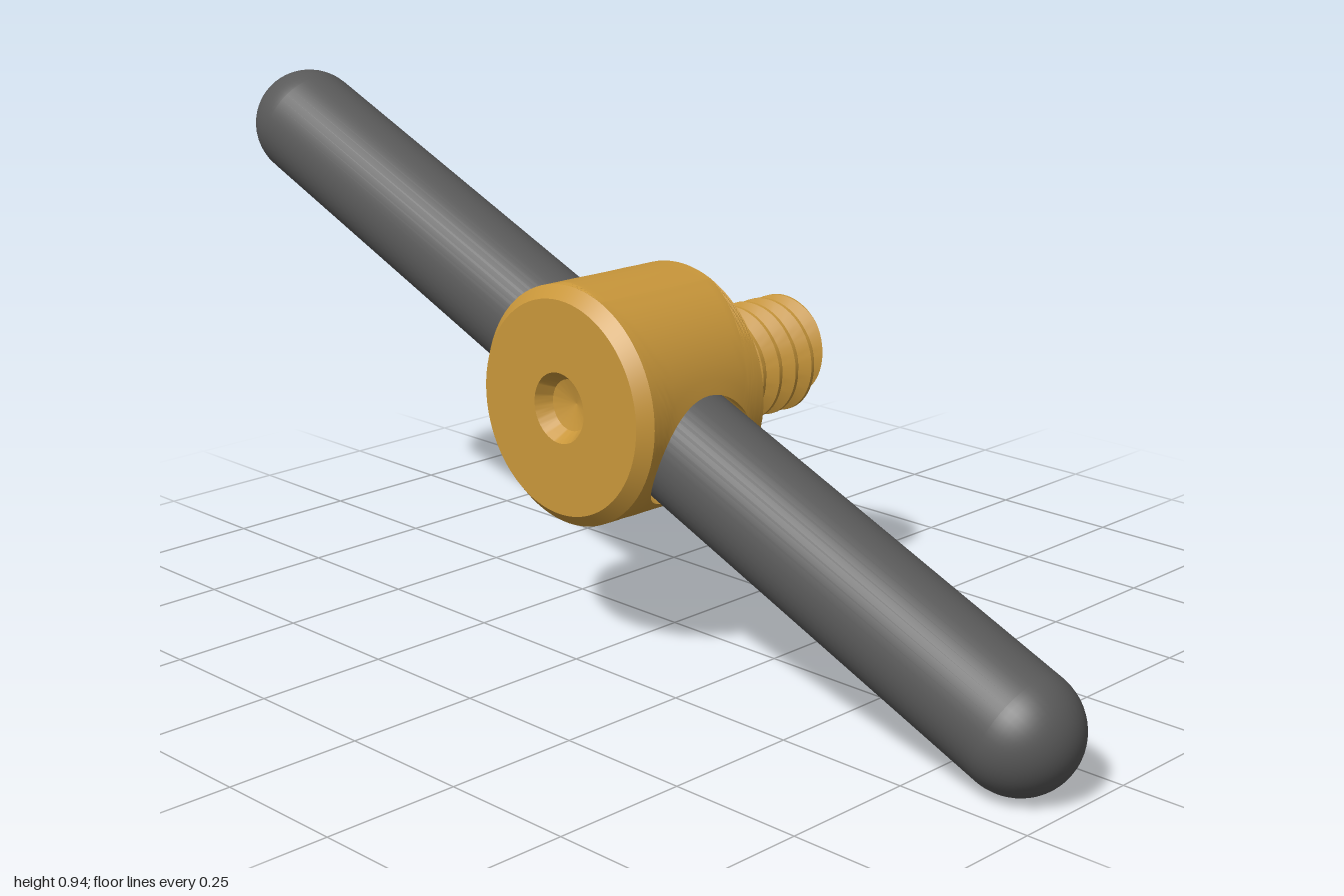
import * as THREE from 'three';
import { toCreasedNormals } from 'three/addons/utils/BufferGeometryUtils.js';

const R = 0.214, H = 0.155, CHAMFER = 0.022;   // collar
const WALL = H - CHAMFER;                      // half height of the straight collar wall
const BORE = 0.113, BAR = 0.106;               // cross hole and bar radii
const lerp = THREE.MathUtils.lerp;

// Skin a list of equally long rows of [x, y, z] points
function skin(rows, crease) {
  const n = rows[0].length, index = [];
  for (let i = 0; i < rows.length - 1; i++) {
    for (let j = 0; j < n - 1; j++) {
      const a = i * n + j, b = a + n;
      index.push(a, b, b + 1, a, b + 1, a + 1);
    }
  }
  const g = new THREE.BufferGeometry();
  g.setAttribute('position', new THREE.Float32BufferAttribute(rows.flat(2), 3));
  g.setIndex(index);
  return toCreasedNormals(g, crease);
}

// Half of the collar wall, with the bore running in to the middle
function wallGeometry() {
  const border = [];
  const side = (x0, y0, x1, y1, n) => {
    for (let i = 0; i < n; i++) border.push([lerp(x0, x1, i / n), lerp(y0, y1, i / n)]);
  };
  side(1, -1, 1, 1, 16);
  side(1, 1, -1, 1, 40);
  side(-1, 1, -1, -1, 16);
  side(-1, -1, 1, -1, 40);
  border.push([1, -1]);

  const steps = 8;
  const rows = Array.from({ length: steps + 2 }, () => []);
  for (const [u, v] of border) {
    const phi = Math.atan2(v, u);
    const y = BORE * Math.cos(phi), z = BORE * Math.sin(phi);
    rows[0].push([0, y, z]);
    for (let k = 0; k <= steps; k++) {
      const a = lerp(Math.asin(y / R), u * Math.PI / 2, k / steps);
      rows[k + 1].push([R * Math.cos(a), R * Math.sin(a), lerp(z, v * WALL, k / steps)]);
    }
  }
  return skin(rows, 0.6);
}

// Turned end face around the z axis
function turned(points) {
  const g = new THREE.LatheGeometry(points.map(p => new THREE.Vector2(...p)), 80);
  return toCreasedNormals(g.rotateX(Math.PI / 2), 0.4);
}

// Right-handed thread running along -z from the collar's back face
function threadGeometry() {
  const length = 0.258, pitch = 0.043, crest = 0.108, root = 0.086, segments = 64;
  const radius = turn => {
    const p = turn - Math.floor(turn), d = Math.min(p, 1 - p);   // distance from crest
    return lerp(crest, root, THREE.MathUtils.clamp((d - 0.08) / 0.28, 0, 1));
  };
  const row = fn => Array.from({ length: segments + 1 }, (_, j) => fn(j / segments));
  const rows = [row(() => [0, 0, -H - length])];
  for (let k = 7; k >= -2; k--) {
    for (const phase of [0.92, 0.64, 0.36, 0.08]) {
      rows.push(row(t => {
        const s = THREE.MathUtils.clamp((k + phase + t) * pitch, 0, length);
        const r = radius(s / pitch - t + 1e-6), a = t * Math.PI * 2;
        return [r * Math.sin(a), r * Math.cos(a), -H - s];
      }));
    }
  }
  return skin(rows, 0.5);
}

export function createModel() {
  const brass = new THREE.MeshStandardMaterial({ color: 0xc8963a });
  const dark = new THREE.MeshStandardMaterial({ color: 0x595959 });
  const model = new THREE.Group();
  model.name = 'clampScrewHandle';

  const add = (parent, name, geometry, material) => {
    const mesh = new THREE.Mesh(geometry, material);
    mesh.name = name;
    parent.add(mesh);
    return mesh;
  };

  // Local x runs along the bar, local z along the screw
  const along = new THREE.Vector3(1.79, -0.732, 0.02);
  const barLength = along.length();
  along.normalize();
  const axis = new THREE.Vector3(-0.0073, 0.0095, 1);
  axis.addScaledVector(along, -axis.dot(along)).normalize();
  const across = new THREE.Vector3().crossVectors(axis, along);
  const handle = new THREE.Group();
  handle.name = 'handle';
  handle.quaternion.setFromRotationMatrix(new THREE.Matrix4().makeBasis(along, across, axis));
  handle.position.set(0, 0.473, 0.128);
  model.add(handle);

  // Round-ended cross bar
  const bar = new THREE.CapsuleGeometry(BAR, barLength, 16, 48).rotateZ(Math.PI / 2);
  add(handle, 'crossBar', bar, dark);

  // Collar: two wall halves and the chamfered end faces
  const collar = new THREE.Group();
  collar.name = 'collar';
  handle.add(collar);
  const wall = wallGeometry();
  add(collar, 'collarWallLeft', wall, brass);
  add(collar, 'collarWallRight', wall, brass).rotation.z = Math.PI;
  add(collar, 'collarFront', turned([
    [R, WALL], [R - CHAMFER, H], [0.063, H], [0.046, H - 0.028], [0, H - 0.042],
  ]), brass);
  add(collar, 'collarBack', turned([[0, -H], [R - CHAMFER, -H], [R, -WALL]]), brass);

  // Threaded stud
  add(handle, 'threadedStud', threadGeometry(), brass);

  return model;
}
